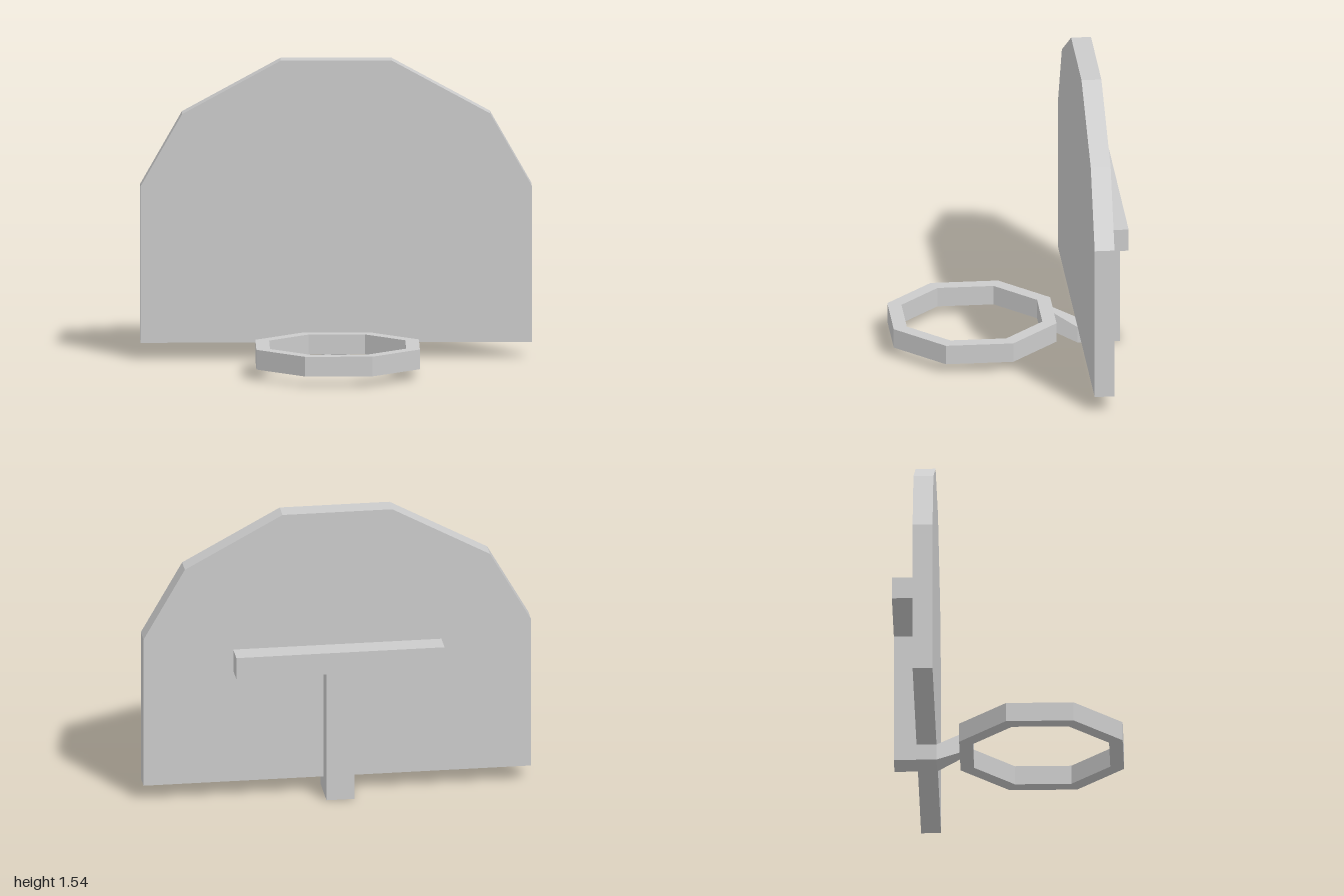
import * as THREE from 'three';

const material = new THREE.MeshStandardMaterial({ color: 0xcccccc, flatShading: true });

const points = (list) => list.map(([x, y]) => new THREE.Vector2(x, y));

function extrude(shape, depth) {
  return new THREE.ExtrudeGeometry(shape, { depth, bevelEnabled: false });
}

// Regular octagon with flat sides facing the axes
function octagon(apothem) {
  const radius = apothem / Math.cos(Math.PI / 8);
  return Array.from({ length: 8 }, (_, i) => {
    const a = (i + 0.5) * Math.PI / 4;
    return new THREE.Vector2(radius * Math.cos(a), radius * Math.sin(a));
  });
}

export function createModel() {
  const group = new THREE.Group();
  const add = (name, geometry) => {
    const mesh = new THREE.Mesh(geometry, material);
    mesh.name = name;
    group.add(mesh);
  };

  // Backboard: faceted arch, mirrored about x = 0
  const half = [[1, 0.085], [1, 0.893], [0.787, 1.267], [0.283, 1.542]];
  const outline = [...half, ...half.map(([x, y]) => [-x, y]).reverse()];
  add('backboard', extrude(new THREE.Shape(points(outline)), 0.102).translate(0, 0, -0.47));

  // Hoop: octagonal ring lying flat
  const ring = new THREE.Shape(octagon(0.418));
  ring.holes.push(new THREE.Path(octagon(0.348)));
  add('hoop', extrude(ring, 0.102).rotateX(Math.PI / 2).translate(0, 0.154, 0.168));

  // Post with a foot reaching under the backboard, drawn as (z, y)
  const post = new THREE.Shape(points([
    [-0.586, 0], [-0.368, 0], [-0.368, 0.085], [-0.47, 0.085], [-0.47, 0.695], [-0.586, 0.695],
  ]));
  add('post', extrude(post, 0.144).rotateY(-Math.PI / 2).translate(0.072, 0, 0));

  // Crossbar behind the backboard
  add('crossbar', new THREE.BoxGeometry(1.074, 0.117, 0.116).translate(0, 0.7535, -0.528));

  // Neck: box tapering and rising from the foot to the hoop
  const neck = new THREE.BoxGeometry(1, 1, 1);
  const p = neck.attributes.position;
  for (let i = 0; i < p.count; i++) {
    const front = p.getZ(i) > 0;
    const top = p.getY(i) > 0;
    const y = front ? (top ? 0.154 : 0.052) : (top ? 0.085 : 0);
    p.setXYZ(i, p.getX(i) * (front ? 0.084 : 0.144), y, front ? -0.25 : -0.368);
  }
  neck.computeVertexNormals();
  add('neck', neck);

  return group;
}
